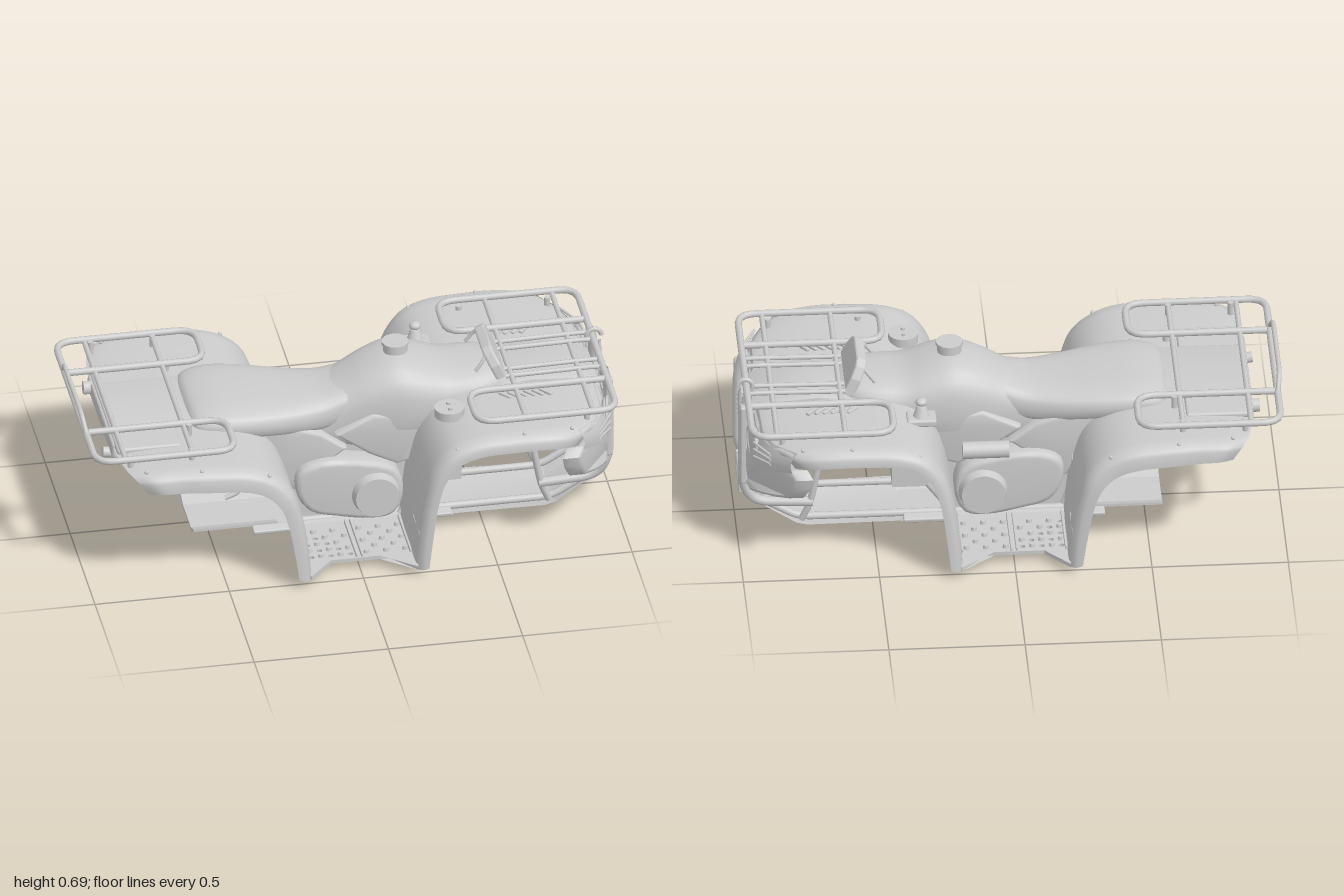
import * as THREE from 'three';
import { toCreasedNormals } from 'three/addons/utils/BufferGeometryUtils.js';
import { RoundedBoxGeometry } from 'three/addons/geometries/RoundedBoxGeometry.js';

const V = (x, y, z) => new THREE.Vector3(x, y, z);
const mat = new THREE.MeshStandardMaterial({ color: 0xcccccc, side: THREE.DoubleSide });

function part(parent, name, geo, x = 0, y = 0, z = 0, rx = 0, ry = 0, rz = 0) {
  const m = new THREE.Mesh(geo, mat);
  m.name = name;
  m.position.set(x, y, z);
  m.rotation.set(rx, ry, rz);
  parent.add(m);
  return m;
}
const cyl = (r, h, n = 24, r2 = r) => new THREE.CylinderGeometry(r, r2, h, n);
const rbox = (w, h, d, r = 0.01) => new RoundedBoxGeometry(w, h, d, 2, r);

// Tube along points with rounded corners
function tube(parent, name, pts, r = 0.012, corner = 0.04) {
  const p = pts.map(a => V(...a)), path = new THREE.CurvePath();
  let from = p[0];
  for (let i = 1; i < p.length - 1; i++) {
    const cut = q => p[i].clone().lerp(q, Math.min(0.48, corner / p[i].distanceTo(q)));
    const a = cut(p[i - 1]), b = cut(p[i + 1]);
    path.add(new THREE.LineCurve3(from, a));
    path.add(new THREE.QuadraticBezierCurve3(a, p[i], b));
    from = b;
  }
  path.add(new THREE.LineCurve3(from, p[p.length - 1]));
  return part(parent, name, new THREE.TubeGeometry(path, pts.length > 2 ? pts.length * 12 : 1, r, 8));
}

// Surface through rows of points
function loft(rows, closed = false) {
  const n = rows[0].length, idx = [], pos = rows.flat().flatMap(v => [v.x, v.y, v.z]);
  for (let i = 0; i < rows.length - 1; i++)
    for (let j = 0; j < (closed ? n : n - 1); j++) {
      const a = i * n + j, b = i * n + (j + 1) % n;
      idx.push(a, b, a + n, b, b + n, a + n);
    }
  const g = new THREE.BufferGeometry();
  g.setAttribute('position', new THREE.Float32BufferAttribute(pos, 3));
  g.setIndex(idx);
  g.computeVertexNormals();
  return g;
}

// Rounded body along x from stations [x, bottom, top, half width]
function body(stations, power = 0.65) {
  const c = new THREE.CatmullRomCurve3(stations.map(s => V(s[0], s[1], s[2])));
  const w = new THREE.CatmullRomCurve3(stations.map(s => V(s[0], s[3], 0)));
  const rows = [], N = 32, M = 28, e = t => Math.sign(t) * Math.abs(t) ** power;
  for (let i = -1; i <= N + 1; i++) {
    const t = Math.min(1, Math.max(0, i / N)), p = c.getPoint(t), k = i < 0 || i > N ? 0 : 1;
    const hw = w.getPoint(t).y, mid = (p.y + p.z) / 2, h = (p.z - p.y) / 2;
    rows.push(Array.from({ length: M }, (_, j) => {
      const a = j / M * 2 * Math.PI;
      return V(p.x, mid + k * h * e(Math.sin(a)), k * hw * e(Math.cos(a)));
    }));
  }
  return toCreasedNormals(loft(rows, true), 0.9);
}

const shape = pts => new THREE.Shape(pts.map(p => new THREE.Vector2(...p)));
// Side-profile slab between z0 and z1
function slab(pts, z0, z1, bevel = 0) {
  const g = new THREE.ExtrudeGeometry(shape(pts), { depth: z1 - z0 - 2 * bevel, bevelEnabled: bevel > 0,
    bevelSize: bevel, bevelThickness: bevel, bevelSegments: 3 });
  return toCreasedNormals(g.translate(0, 0, z0 + bevel), 0.7);
}
// Front-profile slab, points [z, y], reaching back from xFront
function faceSlab(pts, xFront, depth, bevel = 0) {
  const g = new THREE.ExtrudeGeometry(shape(pts), { depth, bevelEnabled: bevel > 0,
    bevelSize: bevel, bevelThickness: bevel, bevelSegments: 2 });
  return g.rotateY(-Math.PI / 2).translate(xFront, 0, 0);
}

// Fender from stations [x, y, outer z], with a lip turned in toward the wheel that deepens to the end
function fender(stations, inner, lip, endLip, round) {
  const path = new THREE.CatmullRomCurve3(stations.map(s => V(...s)));
  const hub = V(Math.sign(stations[0][0]) * 0.58, 0.12, 0);
  return toCreasedNormals(loft(path.getPoints(44).map((p, i) => {
    const far = Math.max(0, Math.abs(p.x) - 0.6) / 0.3;
    const edge = lip + (endLip - lip) * Math.min(1, i / 25);
    const cols = [[0, 0], [0.3, -0.004], [0.6, -0.004], [0.82, -0.008], [0.92, -0.006], [0.98, 0.008], [1, 0.022], [1, edge]];
    return cols.map(([t, drop]) => {
      const q = V(p.x - Math.sign(p.x) * round * far * t ** 3, p.y, 0);
      const d = hub.clone().sub(q).setZ(0).normalize();
      return q.addScaledVector(d, drop).setZ(inner + (p.z - inner) * t);
    });
  })), 0.8);
}

// Everything that exists once per side, built on +z
function buildSide() {
  const g = new THREE.Group();
  part(g, 'frontFender', fender([[.2, .03, .535], [.21, .15, .535], [.235, .32, .535], [.27, .43, .535], [.33, .505, .535],
    [.42, .54, .535], [.55, .55, .535], [.7, .55, .535], [.82, .54, .525], [.9, .525, .5], [.935, .51, .47]], 0.13, 0.04, .05, .09));
  part(g, 'rearFender', fender([[-.2, .03, .535], [-.21, .15, .535], [-.235, .3, .535], [-.27, .4, .535], [-.33, .465, .53],
    [-.42, .505, .53], [-.55, .518, .525], [-.7, .52, .515], [-.82, .515, .51], [-.885, .505, .485]], 0.13, 0.045, .07, .05));

  // Footwell floor with drain holes and grip pegs
  const floor = shape([[-.21, -.16], [.21, -.16], [.2, -.53], [.11, -.43], [-.11, -.43], [-.2, -.53]]);
  for (let i = 0; i < 10; i++) for (let j = 0; j < 5; j++) {
    const x = (i < 5 ? -.175 : .03) + i % 5 * .036, z = .23 + j * .042;
    if ((i + j) % 2) part(g, 'gripPeg', cyl(.009, .014, 8, .012), x, .056, z);
    else floor.holes.push(new THREE.Path().absellipse(x, -z, .011, .01, 0, Math.PI * 2, true));
  }
  part(g, 'footwell', new THREE.ExtrudeGeometry(floor, { depth: .015, bevelEnabled: false, curveSegments: 5 }), 0, .035, 0, -Math.PI / 2);
  for (const x of [-.19, -.01, .01, .19]) part(g, 'footRib', rbox(.008, .016, .25, .003), x, .055, .3);
  for (const s of [-1, 1]) for (const y of [.08, .17])
    part(g, 'flapBracket', rbox(.02, .022, .13, .004), s * .215, y, .44);

  // Fender bolts and hood vents
  for (const [x, y, z] of [[.24, .23, .49], [.35, .52, .5], [.6, .558, .5], [.78, .55, .48],
    [-.24, .23, .49], [-.35, .485, .5], [-.6, .525, .49], [-.8, .525, .46]])
    part(g, 'fenderBolt', new THREE.SphereGeometry(.008, 8, 6), x, y, z);
  for (let i = 0; i < 6; i++) part(g, 'hoodVent', rbox(.015, .012, .055, .004), .58 + i * .03, .556, .22, 0, .7);

  // Engine side cover and the scoop fairing above it
  const outline = new THREE.CatmullRomCurve3([[-.17, .28], [-.1, .31], [.04, .3], [.16, .26], [.185, .18], [.155, .1],
    [.08, .09], [-.03, .11], [-.13, .14], [-.17, .2]].map(p => V(p[0], p[1], 0)), true);
  part(g, 'engineCover', slab(outline.getPoints(40).slice(0, -1).map(p => [p.x, p.y]), .1, .21, .02));
  part(g, 'clutchCover', cyl(.08, .04, 32, .092), .1, .18, .222, Math.PI / 2);
  part(g, 'scoopFairing', slab([[-.02, .42], [.09, .34], [.19, .29], [.225, .3], [.25, .4], [.28, .46], [.1, .48]], .09, .175, .015));

  // Headlight panel and lamp
  const rows = [[.13, .92, .53, .97, .37], [.3, .915, .53, .95, .39], [.4, .88, .53, .91, .42], [.49, .8, .545, .82, .46]];
  part(g, 'headlightPanel', loft(rows.map(([z, x0, y0, x1, y1]) => [0, .35, .7, 1].map(t =>
    V(x0 + (x1 - x0) * t + .015 * Math.sin(t * 3.14), y0 + (y1 - y0) * t, z)))));
  part(g, 'headlightRim', new THREE.TorusGeometry(.062, .006, 8, 28), .95, .46, .26, 0, Math.PI / 2 - .2, 0);
  part(g, 'headlight', new THREE.SphereGeometry(.06, 24, 12).scale(.3, 1, 1), .942, .46, .26, 0, -.2);
  for (let i = 0; i < 3; i++) tube(g, 'headlightTrim', [[.95, .44 + i * .03, .33], [.895, .465 + i * .02, .43]], .005);

  // Swept bumper wing
  const wing = faceSlab([[.15, .24], [.22, .235], [.3, .27], [.38, .305], [.45, .34], [.48, .39], [.49, .43], [.47, .45],
    [.39, .425], [.3, .4], [.22, .38], [.15, .37]], .965, .05, .01);
  const wp = wing.attributes.position;
  for (let i = 0; i < wp.count; i++) wp.setX(i, wp.getX(i) - .16 * (Math.max(0, wp.getZ(i) - .14) / .35) ** 1.6);
  part(g, 'bumperWing', toCreasedNormals(wing, .6));
  part(g, 'bumperUpright', rbox(.03, .33, .045, .01), .975, .39, .16);

  // Bumper and frame tubes
  tube(g, 'bumperTube', [[.96, .58, .14], [.978, .5, .145], [.978, .2, .15], [.93, .12, .13], [.72, .11, .13]], .018, .06);
  tube(g, 'upperFrameTube', [[.42, .27, .13], [.9, .265, .13], [.97, .22, .14]], .013);
  tube(g, 'frontStrut', [[.67, .42, .13], [.73, .1, .13], [.76, .03, .12]], .013);
  tube(g, 'lowerFrameTube', [[.93, .13, .11], [.77, .035, .11], [-.2, .035, .11]], .014);
  tube(g, 'middleStrut', [[.2, .05, .15], [.3, .18, .14]], .014);
  tube(g, 'rearFrameTube', [[-.82, .46, .13], [-.72, .34, .13], [-.42, .33, .13], [-.27, .24, .13], [-.2, .06, .12]], .015, .07);

  // Rack side loops and mounts
  tube(g, 'rearRackLoop', [[-.98, .565, 0], [-.98, .565, .425], [-.46, .565, .425], [-.46, .565, .21], [-.97, .565, .21]], .013, .07);
  tube(g, 'frontRackLoop', [[.96, .58, 0], [.96, .58, .425], [.44, .58, .425], [.44, .58, .21], [.95, .58, .21]], .013, .07);
  for (const [x, z] of [[.52, .4], [.85, .4], [-.62, .4], [-.85, .4], [-.6, .23]])
    part(g, 'rackMount', cyl(.011, .05, 8), x, .545, z);
  for (const z of [.07, .12]) tube(g, 'frontRackRail', [[.6, .575, z], [.93, .58, z], [.965, .575, z]], .009);
  return g;
}

export function createModel() {
  const root = new THREE.Group();
  root.name = 'quadBikeBody';
  const near = buildSide();
  near.name = 'nearSide';
  const far = near.clone();
  far.name = 'farSide';
  far.scale.z = -1;
  root.add(near, far);

  // Seat, tank and central bodywork
  part(root, 'seat', body([[-.585, .48, .53, .14], [-.56, .47, .555, .19], [-.48, .46, .572, .215], [-.35, .44, .568, .21],
    [-.2, .42, .555, .18], [-.08, .41, .555, .15], [.03, .43, .58, .13]]));
  part(root, 'tank', body([[-.22, .36, .45, .13], [-.1, .32, .53, .135], [0, .31, .58, .145], [.1, .3, .635, .165], [.2, .31, .665, .18],
    [.3, .33, .64, .18], [.38, .36, .612, .172], [.48, .42, .605, .165], [.56, .45, .6, .14], [.61, .46, .575, .11]], .72));
  part(root, 'sidePanels', slab([[-.4, .45], [-.25, .3], [-.2, .22], [-.17, .22], [-.1, .3], [-.02, .36], [-.1, .42], [-.25, .47]], -.17, .17, .015));
  part(root, 'fuelCap', cyl(.045, .03, 24), .21, .675, 0);
  part(root, 'fuelCapTop', cyl(.05, .014, 12), .21, .692, 0);
  part(root, 'engineBlock', slab([[-.2, .06], [.2, .06], [.24, .2], [.24, .45], [-.22, .46], [-.23, .3]], -.125, .125));
  part(root, 'rearBody', slab([[-.86, .525], [-.87, .47], [-.4, .41], [-.22, .36], [-.22, .5], [-.5, .525]], -.17, .17, .01));
  part(root, 'rearDeck', rbox(.24, .025, .6), -.76, .52, 0);
  part(root, 'tailPanel', rbox(.03, .06, .5), -.875, .495, 0);
  part(root, 'frontBody', slab([[.23, .17], [.43, .17], [.43, .27], [.5, .27], [.52, .43], [.56, .455], [.61, .44], [.62, .28],
    [.68, .28], [.7, .36], [.84, .38], [.88, .5], [.8, .54], [.5, .55], [.23, .5]], -.15, .15));
  part(root, 'hood', slab([[.55, .54], [.7, .555], [.86, .54], [.94, .5], [.965, .36], [.9, .35], [.84, .46], [.6, .5]], -.135, .135, .01));

  // Instrument pod: a rounded panel leaning back, with a raised rim
  const pod = [[-.125, 0], [.125, 0], [.12, .045], [.1, .085], [.07, .1], [-.07, .1], [-.1, .085], [-.12, .045]];
  part(root, 'instrumentPod', faceSlab(pod, .03, .025, .008), .565, .575, 0, 0, 0, .45);
  tube(root, 'instrumentRim', [...pod.slice(1), pod[0]].map(([z, y]) => [.49 + y * .6, .6 + y * .8, z * .85]), .007, .02);

  // Grille and radiator guard
  part(root, 'grilleBoss', cyl(.025, .02, 20), .97, .43, 0, 0, 0, Math.PI / 2);
  for (const s of [-1, 1]) {
    part(root, 'grilleFrame', rbox(.015, .12, .05, .006), .966, .42, s * .075, s * .12);
    for (let i = 0; i < 5; i++) part(root, 'grilleSlat', rbox(.02, .006, .05, .002), .972, .38 + i * .02, s * .075);
  }
  part(root, 'radiator', rbox(.03, .12, .27), .9, .29, 0);
  for (let i = 0; i < 7; i++) tube(root, 'guardBar', [[.955, .235, -.12 + i * .04], [.955, .355, -.12 + i * .04]], .003);
  for (let i = 0; i < 4; i++) tube(root, 'guardCrossBar', [[.955, .24 + i * .035, -.14], [.955, .24 + i * .035, .14]], .003);
  tube(root, 'bumperCrossTube', [[.97, .36, -.14], [.97, .36, .14]], .009);

  // Winch with fairlead, cable and hook
  part(root, 'winchDrum', cyl(.032, .13), .92, .17, 0, Math.PI / 2);
  for (const s of [-1, 1]) {
    part(root, 'winchEnd', cyl(.045, .045), .92, .17, s * .085, Math.PI / 2);
    part(root, 'fairleadBracket', rbox(.035, .09, .015, .005), .972, .17, s * .075);
  }
  for (const y of [.145, .195]) part(root, 'fairleadRoller', cyl(.01, .15, 12), .98, y, 0, Math.PI / 2);
  tube(root, 'winchCable', [[.98, .17, 0], [.985, .57, -.075]], .006);
  part(root, 'winchHook', new THREE.TorusGeometry(.027, .009, 8, 20, 5), .965, .588, -.08);

  // Skid plates: a shallow channel with raised edges, narrowing and rising at the nose
  const skidRow = ([x, y, w, h]) => [[-w, h], [-w * .8, h * .7], [-w * .5, 0], [w * .5, 0], [w * .8, h * .7], [w, h]].map(([z, up]) => V(x, y + up, z));
  part(root, 'skidPlate', toCreasedNormals(loft([[-.34, .014, .18, .03], [.39, .008, .18, .03], [.4, .008, .155, .02],
    [.74, .004, .15, .018], [.78, .012, .15, .02], [.96, .115, .13, .025]].map(skidRow)), .3));
  for (const s of [-1, 1]) part(root, 'skidSideRail', rbox(.74, .018, .04, .006), .02, .042, s * .16, s * .2);
  part(root, 'skidTail', faceSlab([[-.13, .04], [-.09, .02], [.09, .02], [.13, .04], [.13, .05], [.08, .03], [-.08, .03], [-.13, .05]], -.25, .315));

  // Rack cross bars, tail rail, tail lamp
  for (const [x, y] of [[-.87, .56], [-.62, .56], [.62, .575], [.87, .575]])
    tube(root, 'rackCrossBar', [[x, y, -.42], [x, y, .42]], .01);
  tube(root, 'tailRail', [[-.98, .565, -.23], [-.99, .625, -.18], [-.99, .625, .18], [-.98, .565, .23]], .009);
  part(root, 'tailLamp', cyl(.025, .04, 16), -.895, .5, -.2, 0, 0, Math.PI / 2);

  // Exhaust: pipe, long muffler and tip
  tube(root, 'exhaustPipe', [[-.2, .24, .07], [-.28, .3, .08], [-.34, .37, .15], [-.42, .395, .19]], .02, .05);
  part(root, 'muffler', cyl(.042, .49), -.625, .425, .19, 0, 0, Math.PI / 2 - .13);
  part(root, 'exhaustTip', cyl(.02, .05, 16), -.89, .46, .19, 0, 0, Math.PI / 2 - .13);

  // Gear lever, fender cap and small controls
  part(root, 'gearLeverBase', rbox(.11, .03, .08), .33, .525, -.25);
  for (let i = 0; i < 3; i++) part(root, 'gearLeverBoot', cyl(.024 - i * .004, .014, 16, .03 - i * .004), .33, .547 + i * .014, -.25);
  part(root, 'gearLeverKnob', new THREE.SphereGeometry(.022, 16, 10).scale(1, .7, 1), .33, .598, -.25);
  part(root, 'fenderCap', cyl(.055, .035, 24), .36, .55, .28);
  for (const z of [-.02, .02]) part(root, 'fenderCapStud', cyl(.008, .012, 10), .36, .57, .28 + z);
  part(root, 'intakeCanister', cyl(.032, .17, 20), .09, .35, -.2, 0, 0, Math.PI / 2);
  part(root, 'rearCanister', cyl(.05, .08), -.27, .25, -.16, 0, 0, Math.PI / 2);
  tube(root, 'brakePedal', [[-.3, .27, .15], [-.38, .27, .16], [-.4, .22, .17], [-.455, .2, .17]], .009, .03);
  return root;
}
